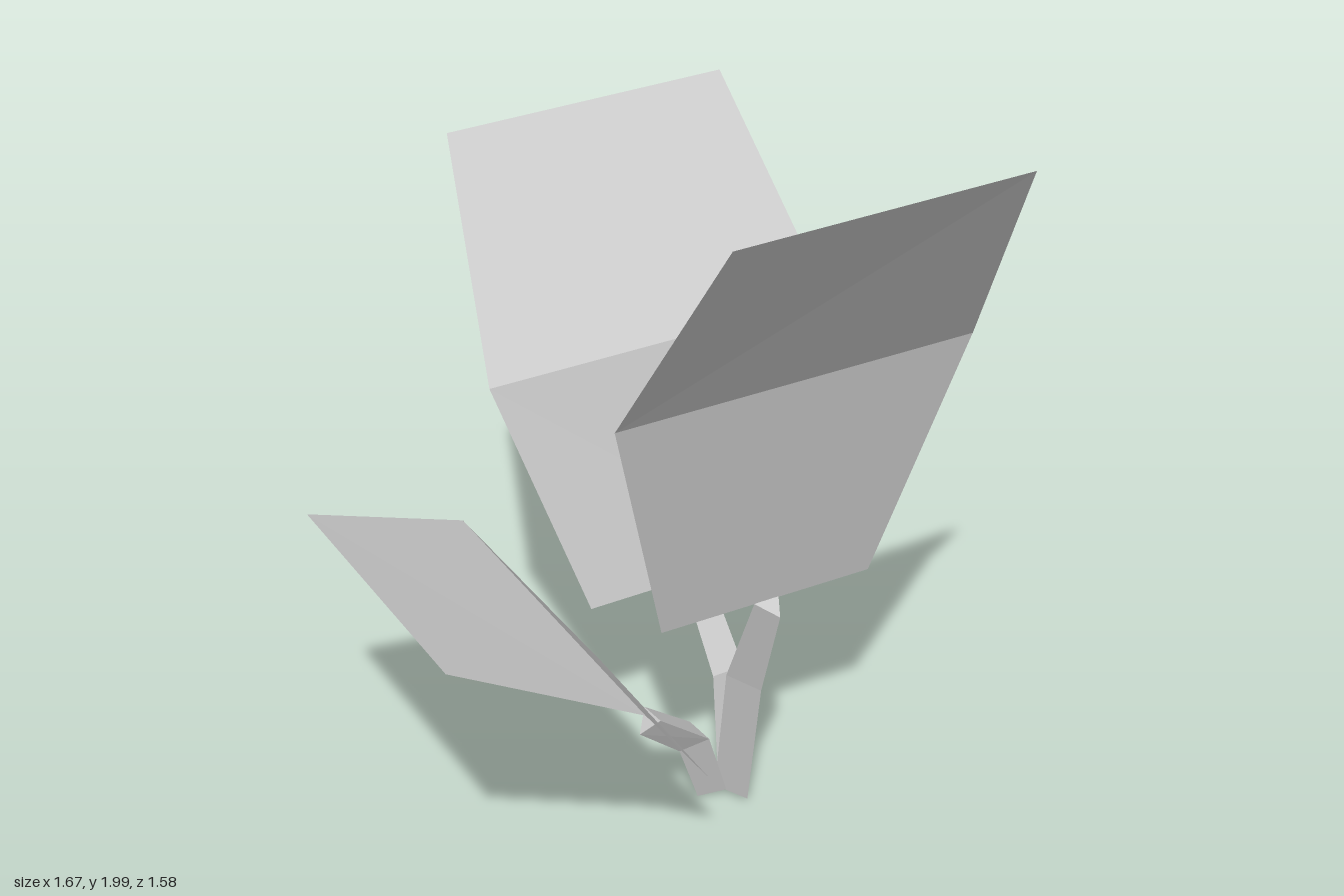
import * as THREE from 'three';

const leafGray = new THREE.MeshStandardMaterial({ color: 0xcccccc, side: THREE.DoubleSide, flatShading: true });
leafGray.name = 'leafGray';

// Joins cross-sections with equal point counts into flat-shaded strips
function loft(rings, closed) {
  const pos = [];
  const n = rings[0].length;
  const quad = (a, b, c, d) => [a, b, c, a, c, d].forEach(p => pos.push(p.x, p.y, p.z));
  for (let i = 0; i < rings.length - 1; i++) {
    for (let j = 0; j < (closed ? n : n - 1); j++) {
      const k = (j + 1) % n;
      quad(rings[i][j], rings[i + 1][j], rings[i + 1][k], rings[i][k]);
    }
  }
  if (closed) {
    const [first, last] = [rings[0], rings[rings.length - 1]];
    [first[0], first[1], first[2], last[0], last[2], last[1]].forEach(p => pos.push(p.x, p.y, p.z));
  }
  const geo = new THREE.BufferGeometry();
  geo.setAttribute('position', new THREE.Float32BufferAttribute(pos, 3));
  geo.computeVertexNormals();
  return geo;
}

// Bent blade: each row is a pair of edge points
function makeLeaf(rows) {
  return loft(rows.map(r => r.map(p => new THREE.Vector3(...p))), false);
}

// Three-sided stem following a path, with one ridge facing outward
function makeStem(path, radii, outward) {
  const pts = path.map(p => new THREE.Vector3(...p));
  const up = new THREE.Vector3(0, 1, 0);
  const rings = pts.map((p, i) => {
    const from = pts[Math.max(i - 1, 0)], to = pts[Math.min(i + 1, pts.length - 1)];
    const q = new THREE.Quaternion().setFromUnitVectors(up, to.clone().sub(from).normalize());
    return [0, 1, 2].map(k => {
      const a = THREE.MathUtils.degToRad(outward + k * 120);
      return new THREE.Vector3(Math.cos(a), 0, Math.sin(a)).multiplyScalar(radii[i]).applyQuaternion(q).add(p);
    });
  });
  return loft(rings, true);
}

const sprouts = [
  {
    name: 'front',
    leaf: [
      [[-0.125, 0.715, 0.11], [0.43, 0.715, 0.315]],
      [[-0.345, 1.4, 0.16], [0.57, 1.4, 0.495]],
      [[-0.375, 2, 0.525], [0.36, 2, 0.785]],
    ],
    path: [[0.23, 0.025, 0.06], [0.19, 0.43, 0.13], [0.15, 0.71, 0.23]],
    radii: [0.055, 0.057, 0.042],
    outward: 105,
  },
  {
    name: 'back',
    leaf: [
      [[0.555, 0.57, -0.04], [0, 0.57, -0.235]],
      [[0.79, 1.19, -0.115], [-0.125, 1.19, -0.45]],
      [[0.835, 1.695, -0.525], [0.1, 1.695, -0.79]],
    ],
    path: [[0.235, 0.025, 0.03], [0.265, 0.345, -0.015], [0.285, 0.57, -0.14]],
    radii: [0.05, 0.052, 0.042],
    outward: -70,
  },
  {
    name: 'right',
    leaf: [
      [[-0.1, 0.325, 0.25], [0.105, 0.325, -0.3]],
      [[-0.435, 0.74, 0.33], [-0.1, 0.74, -0.585]],
      [[-0.835, 0.955, 0.08], [-0.57, 0.955, -0.65]],
    ],
    path: [[0.19, 0.02, 0.01], [0.12, 0.215, 0.005], [-0.015, 0.325, -0.03]],
    radii: [0.045, 0.05, 0.042],
    outward: 195,
  },
];

export function createModel() {
  const plant = new THREE.Group();
  plant.name = 'plant';
  for (const s of sprouts) {
    const leaf = new THREE.Mesh(makeLeaf(s.leaf), leafGray);
    leaf.name = s.name + 'Leaf';
    const stem = new THREE.Mesh(makeStem(s.path, s.radii, s.outward), leafGray);
    stem.name = s.name + 'Stem';
    plant.add(leaf, stem);
  }
  return plant;
}
